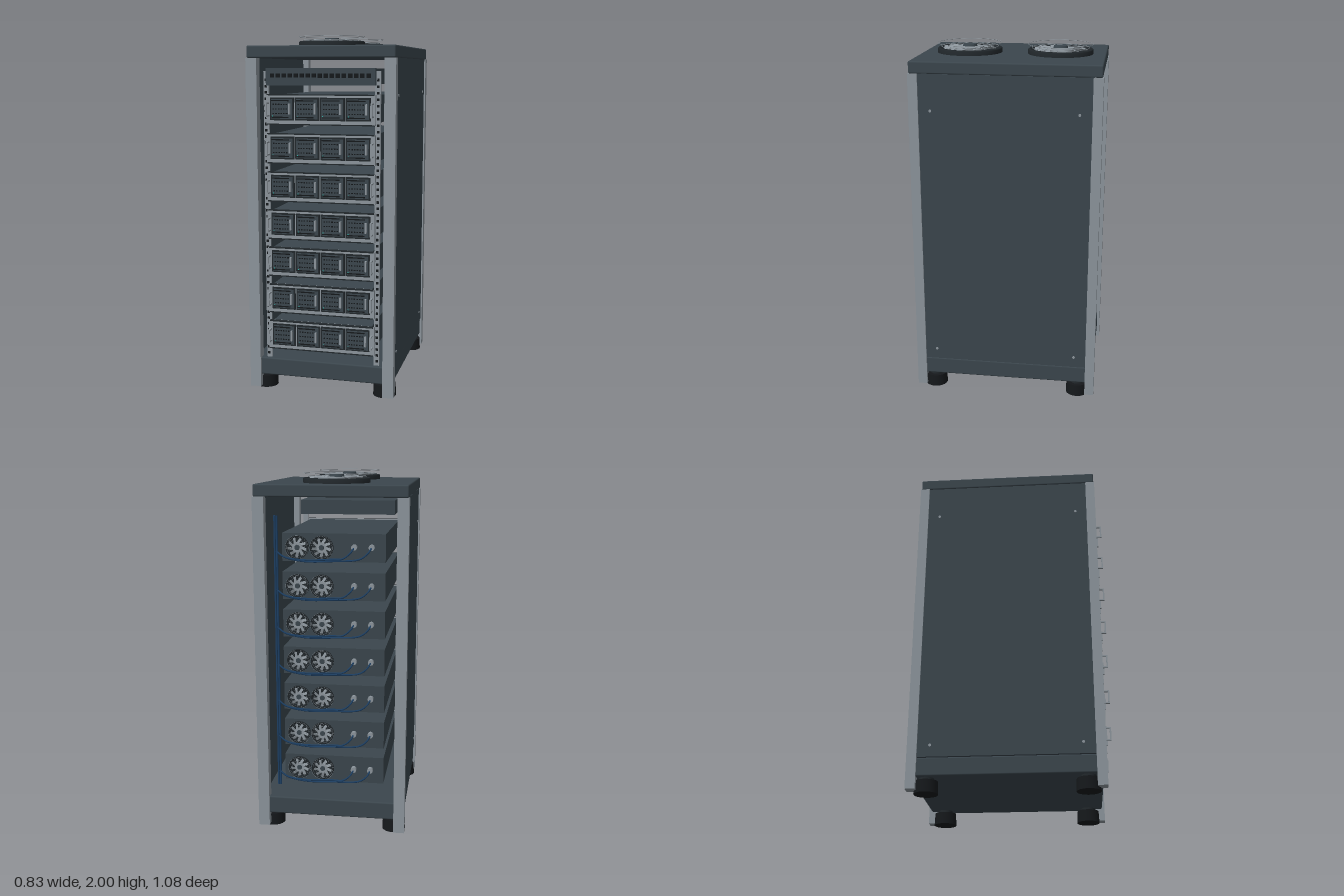
import * as THREE from 'three';
import { RoundedBoxGeometry } from 'three/addons/geometries/RoundedBoxGeometry.js';

const mat = (color) => new THREE.MeshStandardMaterial({ color });
const M = {
  body: mat(0x3b464d), steel: mat(0x8c959c), dark: mat(0x22282c),
  black: mat(0x15181b), cable: mat(0x1d3f63), lamp: mat(0x2fb5a8),
};
const unit = new THREE.BoxGeometry(1, 1, 1);

function add(parent, name, geometry, material, x = 0, y = 0, z = 0) {
  const mesh = new THREE.Mesh(geometry, material);
  mesh.name = name;
  mesh.position.set(x, y, z);
  parent.add(mesh);
  return mesh;
}

// Box given by its extents along each axis
function box(parent, name, material, [x0, x1], [y0, y1], [z0, z1], radius = 0) {
  const s = [x1 - x0, y1 - y0, z1 - z0];
  const g = radius ? new RoundedBoxGeometry(...s, 2, radius) : unit;
  const mesh = add(parent, name, g, material, (x0 + x1) / 2, (y0 + y1) / 2, (z0 + z1) / 2);
  if (!radius) mesh.scale.set(...s);
  return mesh;
}

function group(parent, name, x = 0, y = 0, z = 0) {
  const g = new THREE.Group();
  g.name = name;
  g.position.set(x, y, z);
  parent.add(g);
  return g;
}

// Fan parts, axis along +y, standing on y = 0
const housingProfile = [[0, 0.008], [0.16, 0.008], [0.163, 0.028], [0.18, 0.028], [0.185, 0.023], [0.185, 0]];
const fanGeo = {
  housing: new THREE.LatheGeometry(housingProfile.map(([x, y]) => new THREE.Vector2(x, y)).reverse(), 40),
  hub: new THREE.CylinderGeometry(0.08, 0.08, 0.024, 32),
  cap: new THREE.CylinderGeometry(0.038, 0.042, 0.014, 24),
  blade: new THREE.BoxGeometry(0.043, 0.004, 0.08),
  rings: [0.183, 0.162, 0.125].map((r) => new THREE.TorusGeometry(r, 0.0015, 5, 48).rotateX(Math.PI / 2)),
};

function fan(parent, name) {
  const f = group(parent, name);
  add(f, 'fanHousing', fanGeo.housing, M.dark).material.side = THREE.DoubleSide;
  add(f, 'fanHub', fanGeo.hub, M.steel, 0, 0.02, 0);
  add(f, 'fanCap', fanGeo.cap, M.body, 0, 0.039, 0);
  for (let i = 0; i < 9; i++) {
    const arm = group(f, 'fanBlade');
    arm.rotation.y = (i * Math.PI * 2) / 9;
    const blade = add(arm, 'blade', fanGeo.blade, M.steel, 0, 0.026, -0.11);
    blade.rotation.set(0, -0.25, 0.35);
  }
  fanGeo.rings.forEach((g, i) => add(f, 'grilleRing', g, M.steel, 0, i === 0 ? 0.0535 : 0.034, 0));
  return f;
}

// One drive bay, centred, its face toward +z
function driveBay(parent, x, y) {
  const b = group(parent, 'driveBay', x, y, 0.5);
  box(b, 'bayTray', M.dark, [-0.068, 0.068], [-0.062, 0.062], [-0.01, 0.003]);
  box(b, 'bayFace', M.body, [-0.06, 0.06], [-0.053, 0.053], [0, 0.009]);
  for (const s of [-1, 1]) box(b, 'bayLip', M.black, [-0.058, 0.04], [s * 0.045 - 0.003, s * 0.045 + 0.003], [0.005, 0.013]);
  for (let r = -1; r <= 1; r++) {
    for (let c = 0; c < 6; c++) {
      const cx = -0.046 + c * 0.015;
      box(b, 'ventSlot', M.black, [cx - 0.004, cx + 0.004], [r * 0.025 - 0.003, r * 0.025 + 0.003], [0.006, 0.012]);
    }
  }
  box(b, 'bayLatch', M.steel, [0.043, 0.052], [-0.028, 0.03], [0.005, 0.025]);
  box(b, 'statusLamp', M.lamp, [-0.054, -0.049], [-0.04, -0.036], [0.006, 0.012]);
}

const socketGeo = new THREE.CylinderGeometry(0.016, 0.016, 0.03, 14).rotateX(Math.PI / 2);
const screwGeo = new THREE.CylinderGeometry(0.008, 0.008, 0.005, 12).rotateZ(Math.PI / 2);
const BACK = -0.41;

function server(parent, y) {
  const s = group(parent, 'server', 0, y, 0);
  box(s, 'serverCase', M.body, [-0.285, 0.285], [-0.077, 0.077], [BACK, 0.48]);
  box(s, 'serverFaceplate', M.steel, [-0.305, 0.305], [-0.082, 0.082], [0.475, 0.497]);
  for (const side of [-1, 1]) {
    for (const v of [-1, 1]) box(s, 'faceplateEdge', M.dark, [-0.3, 0.3], [v * 0.08 - 0.003, v * 0.08 + 0.003], [0.48, 0.5]);
    // Pull handle
    const h = side * 0.292;
    box(s, 'handleGrip', M.steel, [h - 0.005, h + 0.005], [-0.038, 0.038], [0.533, 0.541]);
    for (const v of [-0.034, 0.034]) box(s, 'handleArm', M.steel, [h - 0.005, h + 0.005], [v - 0.004, v + 0.004], [0.495, 0.535]);
  }
  for (let i = 0; i < 4; i++) driveBay(s, (i - 1.5) * 0.142, 0.004);

  // Rear fans, sockets and cables
  for (const x of [0.2, 0.065]) {
    const f = fan(s, 'rearFan');
    f.position.set(x, 0, BACK);
    f.rotation.x = -Math.PI / 2;
    f.scale.setScalar(0.35);
  }
  [-0.115, -0.21].forEach((x, i) => {
    add(s, 'socket', socketGeo, M.steel, x, 0.005, BACK - 0.012);
    const path = new THREE.CatmullRomCurve3([
      [x, 0.005, BACK - 0.02], [x + 0.015, -0.02, BACK - 0.045], [x + 0.06, -0.055, BACK - 0.04],
      [0.0, -0.06 - i * 0.01, BACK - 0.03], [0.16, -0.066 - i * 0.007, BACK - 0.03],
      [0.27, -0.05, BACK - 0.03], [0.315, -0.02, BACK - 0.02],
    ].map((p) => new THREE.Vector3(...p)));
    add(s, 'rearCable', new THREE.TubeGeometry(path, 32, 0.005, 6), M.cable);
  });
}

export function createModel() {
  const root = new THREE.Group();
  root.name = 'serverRack';

  // Cabinet frame
  box(root, 'topCover', M.body, [-0.413, 0.413], [1.88, 1.946], [-0.537, 0.504], 0.008);
  box(root, 'baseTray', M.body, [-0.405, 0.405], [0.085, 0.185], [-0.525, 0.492], 0.008);
  const footGeo = new THREE.CylinderGeometry(0.062, 0.065, 0.068, 24);
  const neckGeo = new THREE.CylinderGeometry(0.04, 0.04, 0.03, 20);
  for (const s of [-1, 1]) {
    const span = (a, b) => (s > 0 ? [a, b] : [-b, -a]);
    box(root, 'sidePanel', M.body, span(0.39, 0.409), [0.187, 1.88], [-0.495, 0.462]);
    for (const [z0, z1] of [[0.455, 0.508], [-0.541, -0.488]]) {
      box(root, 'cornerPost', M.steel, span(0.355, 0.417), [0.015, 1.88], [z0, z1]);
    }
    for (const z of [0.41, -0.44]) {
      add(root, 'foot', footGeo, M.black, s * 0.35, 0.034, z);
      add(root, 'footNeck', neckGeo, M.dark, s * 0.35, 0.078, z);
    }
    for (const z of [0.39, -0.42]) {
      for (const y of [0.25, 1.68]) add(root, 'panelScrew', screwGeo, M.steel, s * 0.41, y, z);
    }
    // Mounting rail with its row of holes
    box(root, 'mountingRail', M.steel, span(0.298, 0.328), [0.185, 1.81], [0.455, 0.47]);
    for (let i = 0; i < 46; i++) {
      const y = 0.21 + i * 0.0345;
      box(root, 'railHole', M.black, span(0.309, 0.322), [y - 0.007, y + 0.007], [0.465, 0.472]);
    }
  }

  // Servers
  for (let i = 0; i < 7; i++) server(root, 0.329 + i * 0.2122);

  // Network switch above the servers
  const sw = group(root, 'networkSwitch', 0, 1.78, 0);
  box(sw, 'switchCase', M.body, [-0.285, 0.285], [-0.042, 0.042], [0.15, 0.48]);
  box(sw, 'switchFace', M.body, [-0.305, 0.305], [-0.047, 0.045], [0.475, 0.497]);
  for (let i = 0; i < 17; i++) {
    const x = (i - 8) * 0.0335;
    box(sw, 'port', M.black, [x - 0.012, x + 0.012], [-0.006, 0.016], [0.49, 0.5]);
  }

  // Vertical cable bundle at the back
  for (const dx of [0, 0.012]) {
    const g = new THREE.CylinderGeometry(0.006, 0.006, 1.55, 8);
    add(root, 'cableBundle', g, M.cable, 0.309 + dx, 1.0, BACK - 0.02);
  }

  // Roof fans
  for (const z of [-0.279, 0.241]) fan(root, 'roofFan').position.set(0, 1.945, z);
  return root;
}
